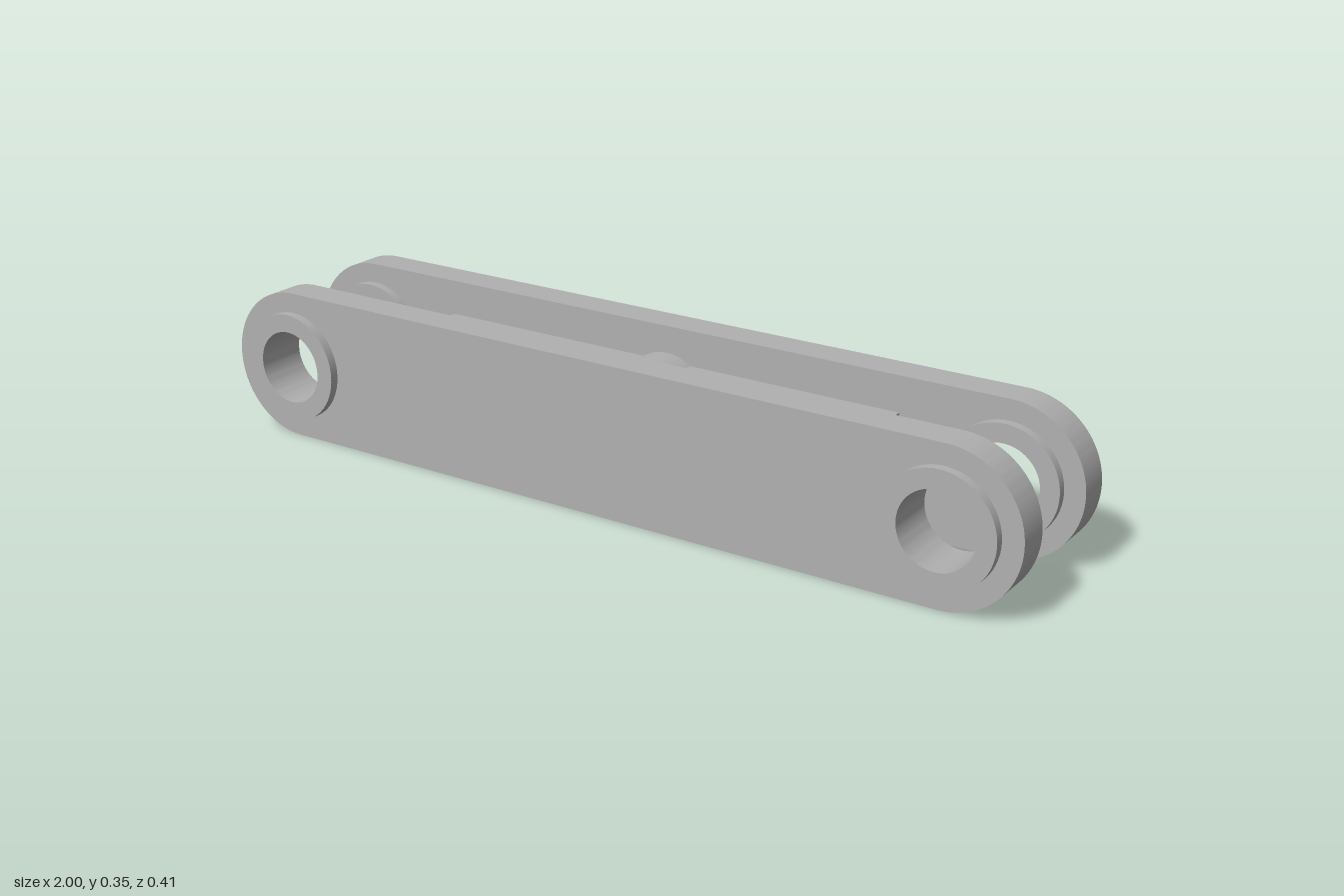
import * as THREE from 'three';
import { toCreasedNormals } from 'three/addons/utils/BufferGeometryUtils.js';

const MID_Y = 0.173;   // height of the link's centre line
const PIN_X = 0.827;   // distance of each pin hole from the middle
const END_R = 0.173;   // rounded end radius
const RING_R = 0.127;
const HOLE_R = 0.085;

// Extrude a shape in z, centred on z = 0, with smooth curved walls
function extrudeZ(shape, depth) {
  const geo = new THREE.ExtrudeGeometry(shape, { depth, bevelEnabled: false, curveSegments: 32 });
  geo.translate(0, 0, -depth / 2);
  return toCreasedNormals(geo, Math.PI / 6);
}

function circleHole(x, radius) {
  return new THREE.Path().absarc(x, 0, radius, 0, Math.PI * 2, true);
}

export function createModel() {
  const group = new THREE.Group();
  group.name = 'linkArm';
  const steel = new THREE.MeshStandardMaterial({ color: 0xb0b0b0 });
  steel.name = 'grey steel';

  const add = (name, geo, x, z) => {
    const mesh = new THREE.Mesh(geo, steel);
    mesh.name = name;
    mesh.position.set(x, MID_Y, z);
    group.add(mesh);
    return mesh;
  };

  // Side plate outline with round ends and a seat for each bushing
  const plate = new THREE.Shape();
  plate.absarc(PIN_X, 0, END_R, -Math.PI / 2, Math.PI / 2, false);
  plate.absarc(-PIN_X, 0, END_R, Math.PI / 2, Math.PI * 1.5, false);
  plate.closePath();
  for (const s of [-1, 1]) plate.holes.push(circleHole(s * PIN_X, RING_R));
  const plateGeo = extrudeZ(plate, 0.08);

  // Bushing ring, standing proud on both faces of the plate
  const ring = new THREE.Shape();
  ring.absarc(0, 0, RING_R, 0, Math.PI * 2, false);
  ring.holes.push(circleHole(0, HOLE_R));
  const ringGeo = extrudeZ(ring, 0.122);

  for (const [side, s] of [['front', 1], ['back', -1]]) {
    add(side + 'Plate', plateGeo, 0, s * 0.144);
    add(side + 'LeftBushing', ringGeo, PIN_X, s * 0.144);
    add(side + 'RightBushing', ringGeo, -PIN_X, s * 0.144);
  }

  // Spacer block and cross boss joining the plates
  add('spacerBlock', new THREE.BoxGeometry(1.17, 0.184, 0.21), 0, 0);
  const boss = add('crossBoss', new THREE.CylinderGeometry(0.111, 0.111, 0.21, 48), 0.012, 0);
  boss.rotation.x = Math.PI / 2;

  return group;
}
